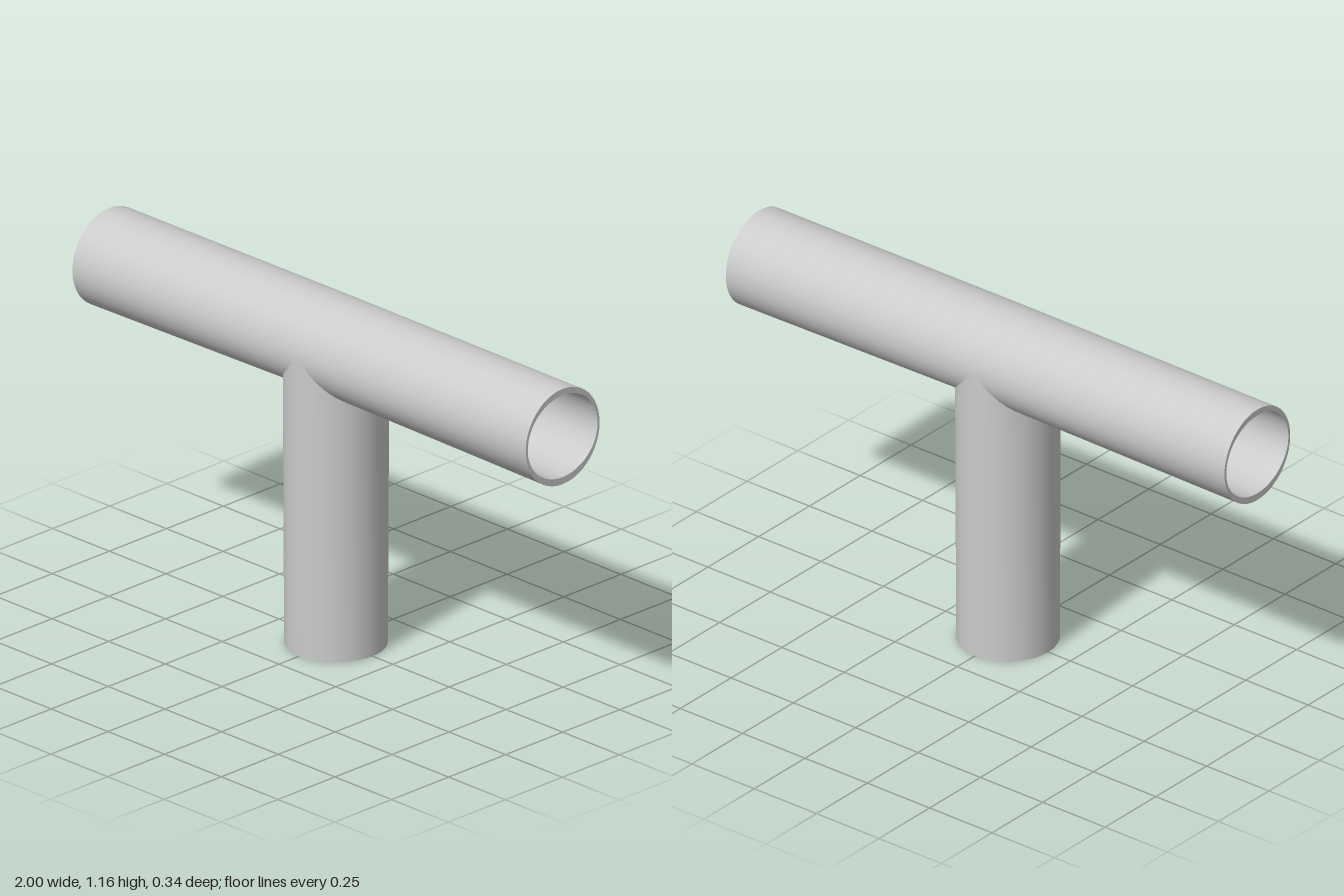
import * as THREE from 'three';
import { toCreasedNormals } from 'three/addons/utils/BufferGeometryUtils.js';

const SIDES = 48;

// Hollow tube wall: sections run along the outside, then back along the bore, and close.
function tubeWall(sections, place) {
  const pos = [], idx = [];
  const n = sections.length;
  for (const s of sections) {
    for (let j = 0; j < SIDES; j++) pos.push(...place(s, (j / SIDES) * Math.PI * 2));
  }
  for (let i = 0; i < n; i++) {
    for (let j = 0; j < SIDES; j++) {
      const k = (j + 1) % SIDES, m = (i + 1) % n;
      const a = i * SIDES + j, b = m * SIDES + j, c = m * SIDES + k, d = i * SIDES + k;
      idx.push(a, b, c, a, c, d);
    }
  }
  const geo = new THREE.BufferGeometry();
  geo.setAttribute('position', new THREE.Float32BufferAttribute(pos, 3));
  geo.setIndex(idx);
  return toCreasedNormals(geo, 0.6);
}

export function createModel() {
  const group = new THREE.Group();
  group.name = 'teePipe';
  const grey = new THREE.MeshStandardMaterial({ color: 0xcccccc });

  const add = (name, geometry) => {
    const mesh = new THREE.Mesh(geometry, grey);
    mesh.name = name;
    group.add(mesh);
  };

  // Crossbar, slightly wider and flatter below at the middle: [x, half depth, rise, drop]
  add('crossPipe', tubeWall([
    [-1, 0.162, 0.163, 0.16], [0, 0.168, 0.164, 0.142], [1, 0.162, 0.163, 0.16],
    [1, 0.153, 0.142, 0.136], [0, 0.156, 0.142, 0.132], [-1, 0.153, 0.142, 0.136],
  ], ([x, depth, rise, drop], t) => {
    const s = Math.sin(t);
    return [x, 1 + s * (s > 0 ? rise : drop), depth * Math.cos(t)];
  }));

  // Stem, running up to the crossbar's axis: [y, half width, half depth]
  add('stemPipe', tubeWall([
    [0, 0.161, 0.162], [1, 0.162, 0.17],
    [1, 0.152, 0.158], [0, 0.152, 0.153],
  ], ([y, width, depth], t) => [width * Math.cos(t), y, depth * Math.sin(t)]));

  return group;
}
